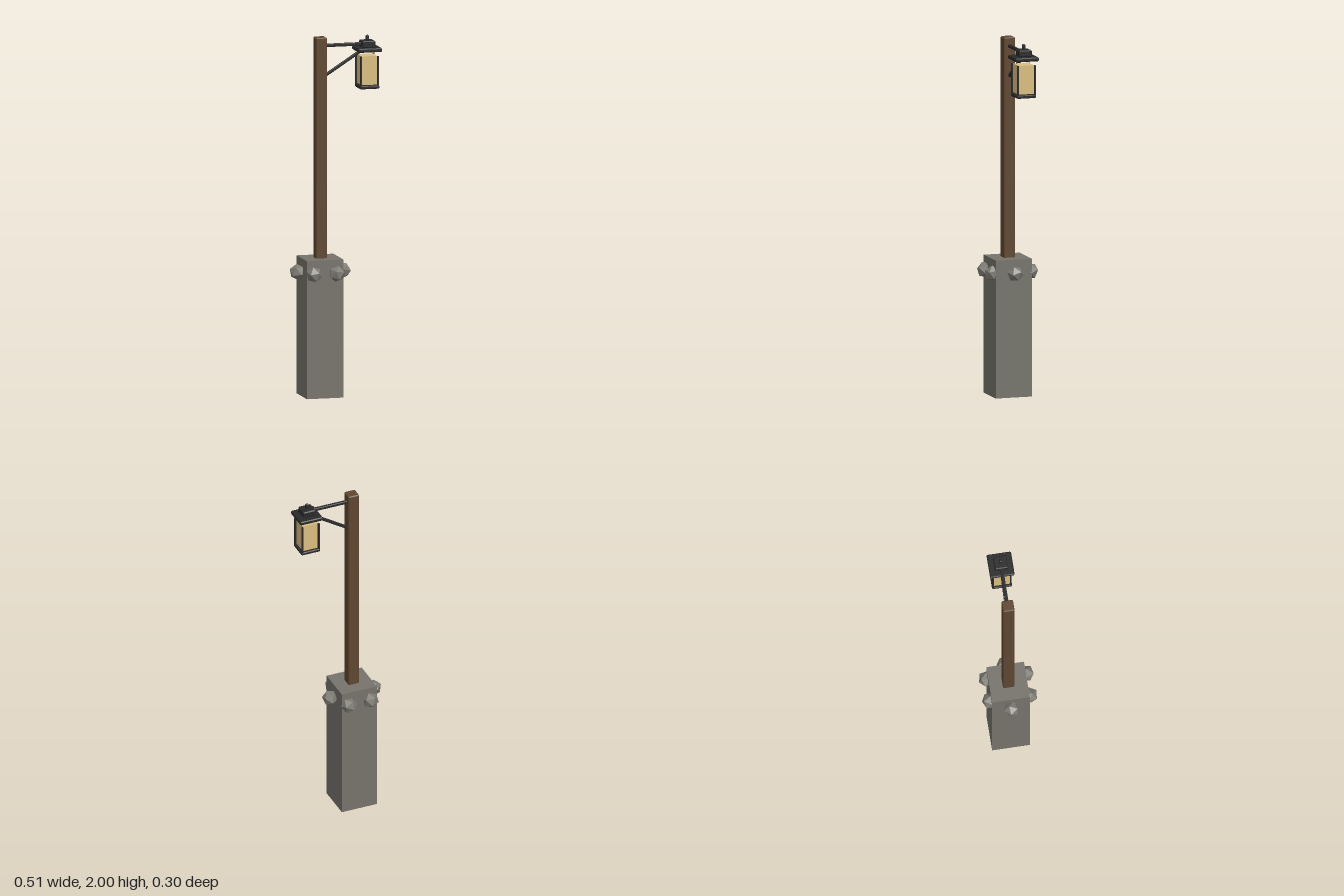
import * as THREE from 'three';
import { ConvexGeometry } from 'three/addons/geometries/ConvexGeometry.js';

export function createModel() {
  const model = new THREE.Group();
  model.name = 'lampPost';

  const material = (name, color, flatShading = false) => {
    const m = new THREE.MeshStandardMaterial({ color, flatShading });
    m.name = name;
    return m;
  };
  const stone = material('stone', 0x75736b);
  const rock = material('rock', 0x7c7a72, true);
  const wood = material('wood', 0x5e4630);
  const iron = material('iron', 0x29292a);
  const glass = material('amberGlass', 0xdabd80);

  const add = (name, geometry, mat, x, y, z) => {
    const mesh = new THREE.Mesh(geometry, mat);
    mesh.name = name;
    mesh.position.set(x, y, z);
    model.add(mesh);
    return mesh;
  };

  // Box with every edge cut by a small flat chamfer
  const chamferBox = (w, h, d, c) => {
    const points = [];
    for (const sx of [-1, 1]) for (const sy of [-1, 1]) for (const sz of [-1, 1]) {
      for (let axis = 0; axis < 3; axis++) {
        const p = [w, h, d].map((s, i) => s / 2 - (i === axis ? 0 : c));
        points.push(new THREE.Vector3(p[0] * sx, p[1] * sy, p[2] * sz));
      }
    }
    return new ConvexGeometry(points);
  };

  const postX = -0.082;
  const lampX = 0.187;

  // Stone pedestal and wooden post
  add('pedestal', new THREE.BoxGeometry(0.21, 0.77, 0.21), stone, postX, 0.385, 0);
  add('post', chamferBox(0.064, 1.235, 0.064, 0.005), wood, postX, 1.3825, 0);

  // Ring of faceted rocks set into the pedestal
  const rockGeometry = new THREE.IcosahedronGeometry(0.047, 0);
  for (let i = 0; i < 6; i++) {
    const a = (i * Math.PI) / 3;
    const mesh = add('rock', rockGeometry, rock,
      postX + Math.cos(a) * 0.129, 0.694, Math.sin(a) * 0.111 / 0.866);
    mesh.rotation.set(0.3 + i * 0.15, i * 1.1, 0.2);
    mesh.scale.y = 0.95;
  }

  // Iron bars running from the post to the lantern
  const bar = (name, x1, y1, x2, y2, t) => {
    const length = Math.hypot(x2 - x1, y2 - y1);
    const mesh = add(name, chamferBox(length, t, t, 0.003), iron, (x1 + x2) / 2, (y1 + y2) / 2, 0);
    mesh.rotation.z = Math.atan2(y2 - y1, x2 - x1);
  };
  bar('arm', -0.055, 1.952, lampX, 1.952, 0.018);
  bar('brace', -0.058, 1.782, 0.168, 1.925, 0.016);

  // Lantern roof, cap and finial
  add('lanternRoof', chamferBox(0.136, 0.022, 0.136, 0.005), iron, lampX, 1.923, 0);
  add('lanternCap', chamferBox(0.074, 0.038, 0.074, 0.005), iron, lampX, 1.952, 0);
  add('finial', chamferBox(0.017, 0.032, 0.017, 0.004), iron, lampX, 1.984, 0);

  // Lantern glass, floor and corner rods
  add('lanternGlass', new THREE.BoxGeometry(0.09, 0.16, 0.09), glass, lampX, 1.808, 0);
  add('lanternFloor', chamferBox(0.112, 0.018, 0.112, 0.004), iron, lampX, 1.715, 0);
  const rodGeometry = new THREE.BoxGeometry(0.009, 0.168, 0.009);
  for (const sx of [-1, 1]) for (const sz of [-1, 1]) {
    add('cornerRod', rodGeometry, iron, lampX + sx * 0.049, 1.804, sz * 0.049);
  }

  return model;
}
